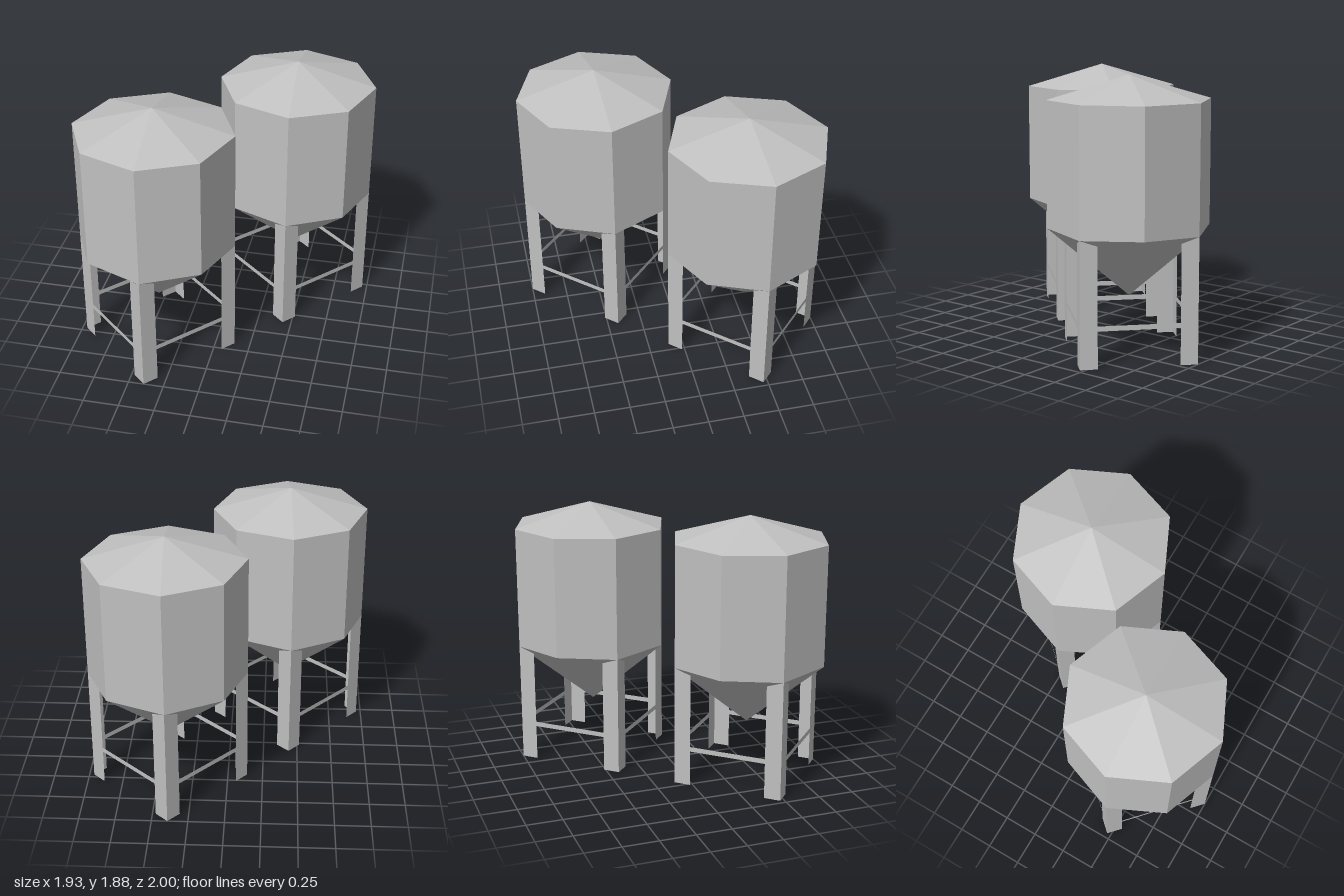
import * as THREE from 'three';

const R = 0.553;          // corner radius of the octagonal tank
const EAVE = 1.715;       // top of the wall
const RIM = 0.864;        // bottom of the wall
const LEG_TOP = 0.852;    // rim dips slightly at the four leg corners

const steel = new THREE.MeshStandardMaterial({ color: 0xc0c0c0, flatShading: true, side: THREE.DoubleSide });
steel.name = 'galvanised steel';

function mesh(name, geometry) {
  const m = new THREE.Mesh(geometry, steel);
  m.name = name;
  return m;
}

// Open eight-sided ring between two heights, with the rim lowered at the legs
function ring(rTop, yTop, rBottom, yBottom) {
  const g = new THREE.CylinderGeometry(rTop, rBottom, yTop - yBottom, 8, 1, true);
  g.translate(0, (yTop + yBottom) / 2, 0);
  const p = g.attributes.position;
  for (let i = 0; i < p.count; i++) {
    const atLeg = Math.abs(p.getX(i) * p.getZ(i)) < 1e-4;
    if (atLeg && Math.abs(p.getY(i) - RIM) < 1e-4) p.setY(i, LEG_TOP);
  }
  g.computeVertexNormals();
  return g;
}

function plate(points) {
  return new THREE.ShapeGeometry(new THREE.Shape(points.map(([x, y]) => new THREE.Vector2(x, y))));
}

// One side of the square stand: two leg flanges and the brace between them
function standSide() {
  const side = new THREE.Group();
  side.name = 'standSide';
  const h = R / Math.SQRT2, inner = h - 0.117;
  for (const s of [-1, 1]) {
    side.add(mesh('legFlange', plate([[s * h, 0], [s * inner, 0], [s * inner, 0.812], [s * h, LEG_TOP]])));
  }
  side.add(mesh('brace', plate([[-inner, 0.253], [inner, 0.253], [inner, 0.287], [-inner, 0.287]])));
  side.children.forEach((m) => { m.position.z = h; });
  return side;
}

function silo(name) {
  const g = new THREE.Group();
  g.name = name;
  g.add(mesh('roof', ring(0, 1.876, R, EAVE)));
  g.add(mesh('wall', ring(R, EAVE, R, RIM)));
  g.add(mesh('hopper', ring(R, RIM, 0, 0.387)));
  for (let k = 0; k < 4; k++) {
    const side = standSide();
    side.rotation.y = Math.PI / 4 + k * Math.PI / 2;
    g.add(side);
  }
  g.rotation.y = THREE.MathUtils.degToRad(2.4);
  return g;
}

export function createModel() {
  const model = new THREE.Group();
  model.name = 'silos';
  for (const [name, s] of [['frontSilo', -1], ['backSilo', 1]]) {
    const tank = silo(name);
    tank.position.set(s * 0.414, 0, -s * 0.447);
    model.add(tank);
  }
  return model;
}
